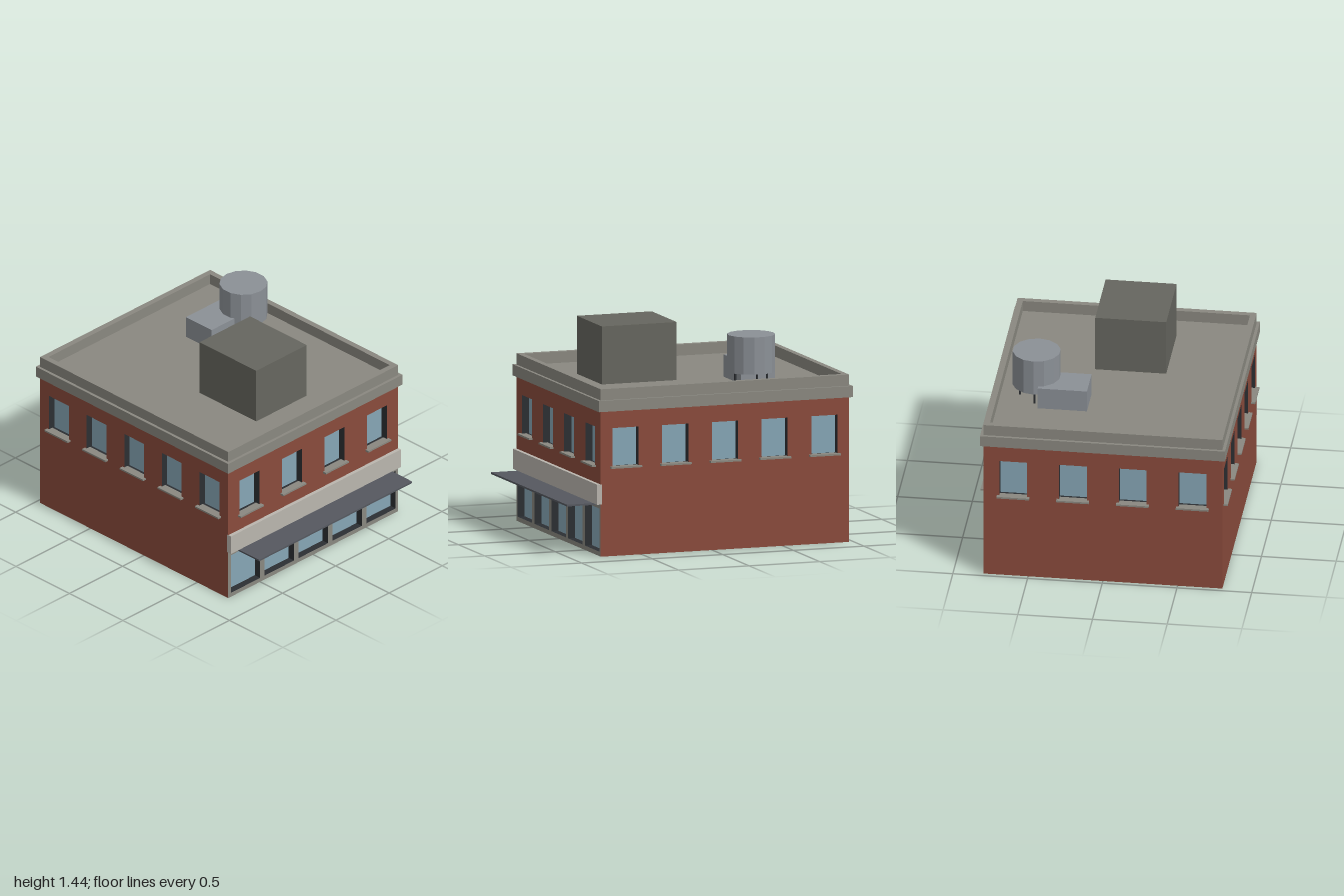
import * as THREE from 'three';

const mat = (color, side = THREE.FrontSide) =>
  new THREE.MeshStandardMaterial({ color, side, flatShading: true });

const brick = mat(0x8a4b3c, THREE.DoubleSide);
const stone = mat(0x8a8880);
const shopGrey = mat(0x8a8880, THREE.DoubleSide);
const glass = mat(0x86a6b5);
const dark = mat(0x2c2f33, THREE.DoubleSide);
const signPaint = mat(0xbab6ae);
const canopyPaint = mat(0x55585f);
const penthousePaint = mat(0x66665f);
const metal = mat(0x8b9096);

// Footprint of the brick walls
const HX = 0.8, HZ = 0.88, CZ = -0.09;
const RECESS = 0.05;

function add(parent, name, geometry, material, x = 0, y = 0, z = 0) {
  const mesh = new THREE.Mesh(geometry, material);
  mesh.name = name;
  mesh.position.set(x, y, z);
  parent.add(mesh);
  return mesh;
}

// Box given by its limits on each axis
function block(parent, name, material, [x0, x1], [y0, y1], [z0, z1]) {
  return add(parent, name, new THREE.BoxGeometry(x1 - x0, y1 - y0, z1 - z0), material,
    (x0 + x1) / 2, (y0 + y1) / 2, (z0 + z1) / 2);
}

function rectangle(Type, x0, x1, y0, y1) {
  const r = new Type();
  r.moveTo(x0, y0);
  r.lineTo(x1, y0);
  r.lineTo(x1, y1);
  r.lineTo(x0, y1);
  r.closePath();
  return r;
}

// Wall sheet facing +z with recessed openings at the given centres
function wall(parent, name, material, half, [y0, y1], centres, width, [b, t]) {
  const shape = rectangle(THREE.Shape, -half, half, y0, y1);
  for (const c of centres) {
    const l = c - width / 2, r = c + width / 2;
    shape.holes.push(rectangle(THREE.Path, l, r, b, t));
    block(parent, name + 'Pane', glass, [l, r], [b, t], [-RECESS - 0.01, -RECESS]);
    // Dark lining of the opening
    for (const x of [l, r]) {
      const jamb = add(parent, name + 'Jamb', new THREE.PlaneGeometry(RECESS, t - b), dark,
        x, (b + t) / 2, -RECESS / 2);
      jamb.rotation.y = x === l ? Math.PI / 2 : -Math.PI / 2;
    }
    for (const y of [b, t]) {
      const lining = add(parent, name + 'Lining', new THREE.PlaneGeometry(width, RECESS), dark,
        c, y, -RECESS / 2);
      lining.rotation.x = y === b ? -Math.PI / 2 : Math.PI / 2;
    }
  }
  add(parent, name, new THREE.ShapeGeometry(shape), material);
}

// One side of the building: brick with a row of windows and sills
function facade(parent, name, half, bottom, count, spacing, angle, x, z) {
  const side = new THREE.Group();
  side.name = name;
  side.position.set(x, 0, z);
  side.rotation.y = angle;
  const centres = Array.from({ length: count }, (_, i) => (i - (count - 1) / 2) * spacing);
  wall(side, 'brickWall', brick, half, [bottom, 0.98], centres, 0.185, [0.6, 0.86]);
  for (const c of centres) {
    block(side, 'windowSill', stone, [c - 0.109, c + 0.109], [0.59, 0.602], [-0.03, 0.027]);
  }
  parent.add(side);
  return side;
}

export function createModel() {
  const model = new THREE.Group();
  model.name = 'cornerShopBuilding';

  // Four sides
  const front = facade(model, 'frontSide', HX, 0.35, 4, 0.4, 0, 0, CZ + HZ);
  facade(model, 'backSide', HX, 0, 4, 0.4, Math.PI, 0, CZ - HZ);
  facade(model, 'leftSide', HZ, 0, 5, 0.352, Math.PI / 2, HX, CZ);
  facade(model, 'rightSide', HZ, 0, 5, 0.352, -Math.PI / 2, -HX, CZ);

  // Shop front with sign band and flat canopy
  wall(front, 'shopFront', shopGrey, HX, [0, 0.35], [-0.638, -0.319, 0, 0.319, 0.638], 0.276, [0.03, 0.32]);
  block(front, 'signBand', signPaint, [-HX, HX], [0.35, 0.485], [-0.01, 0.025]);
  block(front, 'canopy', canopyPaint, [-0.72, 0.72], [0.337, 0.349], [0, 0.21]);

  // Dark interior
  block(model, 'interior', dark, [-HX + 0.07, HX - 0.07], [0.003, 0.975],
    [CZ - HZ + 0.07, CZ + HZ - 0.07]);

  // Cornice, its top being the roof
  block(model, 'corniceAndRoof', stone, [-0.82, 0.82], [0.975, 1.05], [CZ - HZ - 0.02, CZ + HZ + 0.02]);

  // Parapet ring
  const ring = rectangle(THREE.Shape, -HX, HX, -HZ, HZ);
  ring.holes.push(rectangle(THREE.Path, -HX + 0.04, HX - 0.04, -HZ + 0.04, HZ - 0.04));
  const parapet = add(model, 'parapet',
    new THREE.ExtrudeGeometry(ring, { depth: 0.075, bevelEnabled: false }), stone, 0, 1.05, CZ);
  parapet.rotation.x = -Math.PI / 2;

  // Stair penthouse and air handling unit
  block(model, 'penthouse', penthousePaint, [-0.295, 0.18], [1.05, 1.44], [0.02, 0.55]);
  block(model, 'airUnit', metal, [0.16, 0.49], [1.05, 1.2], [-0.56, -0.32]);

  // Water tank on four legs
  const tank = new THREE.Group();
  tank.name = 'waterTank';
  tank.position.set(0.52, 0, -0.38);
  add(tank, 'tankBody', new THREE.CylinderGeometry(0.16, 0.16, 0.25, 14), metal, 0, 1.265, 0);
  for (let i = 0; i < 4; i++) {
    const a = (i * Math.PI) / 2;
    add(tank, 'tankLeg', new THREE.CylinderGeometry(0.008, 0.008, 0.09, 6), dark,
      Math.cos(a) * 0.112, 1.095, Math.sin(a) * 0.112);
  }
  model.add(tank);

  return model;
}
